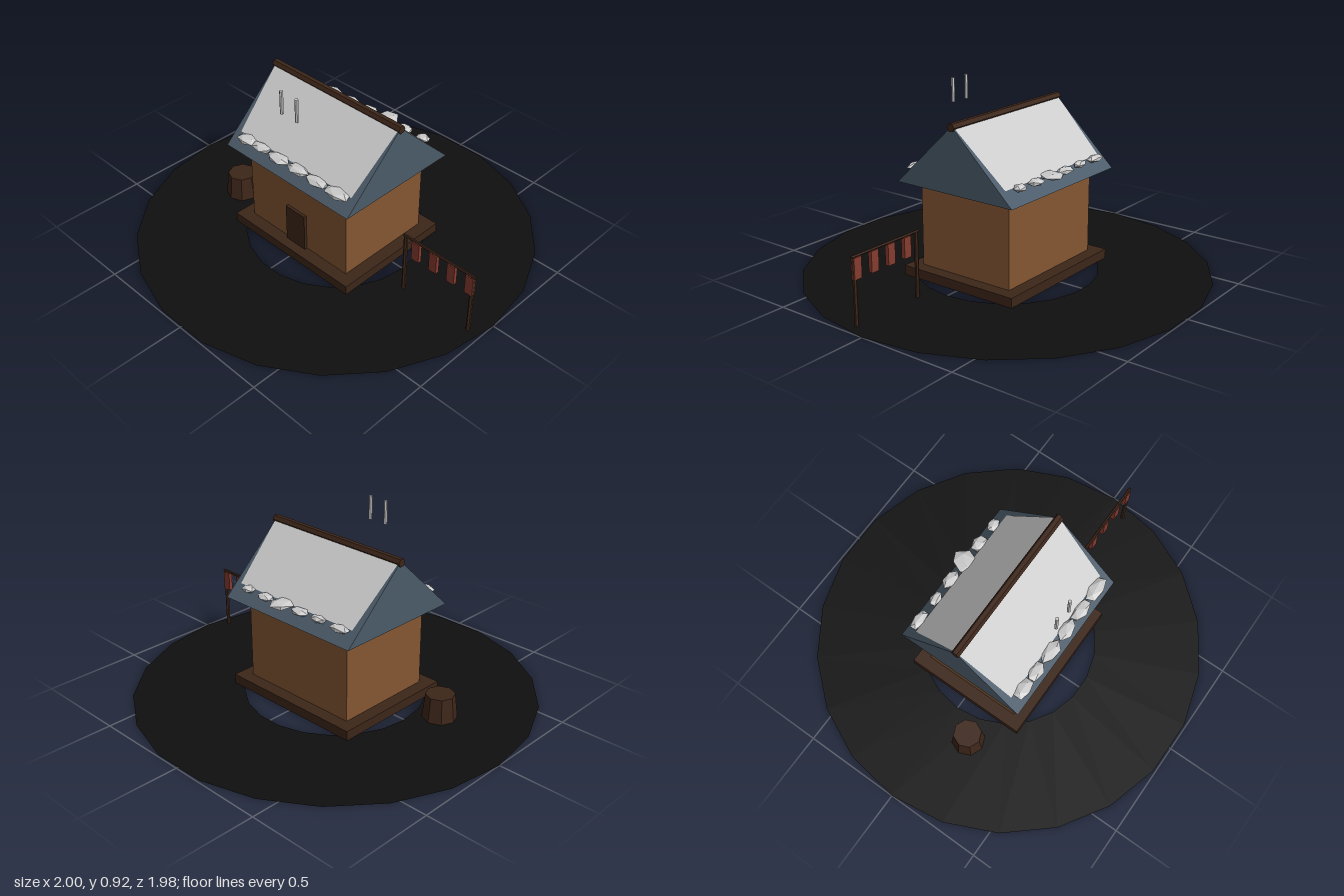
import * as THREE from 'three';

const mat = (color) => new THREE.MeshStandardMaterial({ color, flatShading: true, side: THREE.DoubleSide });

export function createModel() {
  const model = new THREE.Group();
  const darkWood = mat(0x3d2619), wallWood = mat(0x855733), slate = mat(0x4b5b69);
  const snow = mat(0xcccccc), red = mat(0x863c30), black = mat(0x0f0f0f);

  const add = (name, geometry, material, x = 0, y = 0, z = 0, parent = model) => {
    const mesh = new THREE.Mesh(geometry, material);
    mesh.name = name;
    mesh.position.set(x, y, z);
    parent.add(mesh);
    return mesh;
  };
  const box = (w, h, d) => new THREE.BoxGeometry(w, h, d);

  // Flat ground ring
  add('groundRing', new THREE.RingGeometry(0.45, 1, 22).rotateX(-Math.PI / 2), black);

  // Cabin body
  add('foundation', box(0.774, 0.048, 0.648), darkWood, 0, 0.027, 0);
  add('walls', box(0.646, 0.43, 0.52), wallWood, 0, 0.264, 0);
  add('door', box(0.126, 0.2, 0.03), darkWood, -0.003, 0.151, 0.26);

  // Gabled roof: triangular prism along x
  const eave = 0.475, peak = 0.795, halfDepth = 0.338;
  const gable = new THREE.Shape();
  gable.moveTo(-halfDepth, eave);
  gable.lineTo(halfDepth, eave);
  gable.lineTo(0, peak);
  gable.closePath();
  const roof = new THREE.ExtrudeGeometry(gable, { depth: 0.806, bevelEnabled: false });
  roof.translate(0, 0, -0.403).rotateY(Math.PI / 2);
  add('roof', roof, slate);
  add('ridgeBeam', new THREE.CylinderGeometry(0.021, 0.021, 0.82, 6).rotateZ(Math.PI / 2), darkWood, 0, 0.79, 0);

  // Snow sheet and drifts on each slope: [x, half width, half depth]
  const drifts = {
    1: [[-0.3, 0.06, 0.04], [-0.2, 0.06, 0.034], [-0.08, 0.07, 0.04], [0.05, 0.065, 0.038], [0.17, 0.07, 0.036], [0.3, 0.075, 0.04]],
    '-1': [[-0.31, 0.06, 0.03], [-0.18, 0.045, 0.026], [-0.06, 0.055, 0.035], [0.055, 0.06, 0.07], [0.17, 0.05, 0.035], [0.29, 0.04, 0.03]],
  };
  const slopeY = (z) => peak - z * (peak - eave) / halfDepth;
  for (const side of [1, -1]) {
    const group = new THREE.Group();
    group.name = side > 0 ? 'frontSnow' : 'backSnow';
    model.add(group);
    const sheet = new THREE.PlaneGeometry(1, 1);
    const p = sheet.attributes.position;
    for (let i = 0; i < 4; i++) {
      const top = p.getY(i) > 0;
      const z = top ? 0.005 : 0.275;
      p.setXYZ(i, Math.sign(p.getX(i)) * (top ? 0.4 : 0.368), slopeY(z) + 0.005, z);
    }
    sheet.computeVertexNormals();
    if (side < 0) sheet.rotateY(Math.PI);
    add('snowSheet', sheet, snow, 0, 0, 0, group);
    drifts[side].forEach(([x, w, d], i) => {
      const drift = add('snowDrift', new THREE.IcosahedronGeometry(1, 0).rotateY(i * 1.3), snow,
        x, 0.537 + 0.003 * (i % 2), side * 0.297, group);
      drift.scale.set(w, 0.018, d);
    });
  }

  // Pair of thin upright pipes
  for (const x of [-0.05, 0.048]) {
    add('pipe', new THREE.CylinderGeometry(0.009, 0.009, 0.12, 6), snow, x, 0.86, 0.293);
  }

  // Tapered tub
  add('tub', new THREE.CylinderGeometry(0.071, 0.085, 0.124, 8), darkWood, -0.55, 0.063, 0.14);

  // Drying rack with hanging cloths
  const rack = new THREE.Group();
  rack.name = 'dryingRack';
  rack.position.set(0.74, 0, 0.098);
  model.add(rack);
  for (const x of [-0.195, 0.192]) {
    add('rackPost', new THREE.CylinderGeometry(0.01, 0.01, 0.32, 6), darkWood, x, 0.16, 0, rack);
  }
  add('rackBar', new THREE.CylinderGeometry(0.007, 0.007, 0.415, 6).rotateZ(Math.PI / 2), darkWood, 0, 0.321, 0, rack);
  for (let i = 0; i < 4; i++) {
    add('cloth', box(0.043, 0.1, 0.02), red, -0.13 + i * 0.103, 0.266, 0, rack);
  }
  return model;
}
